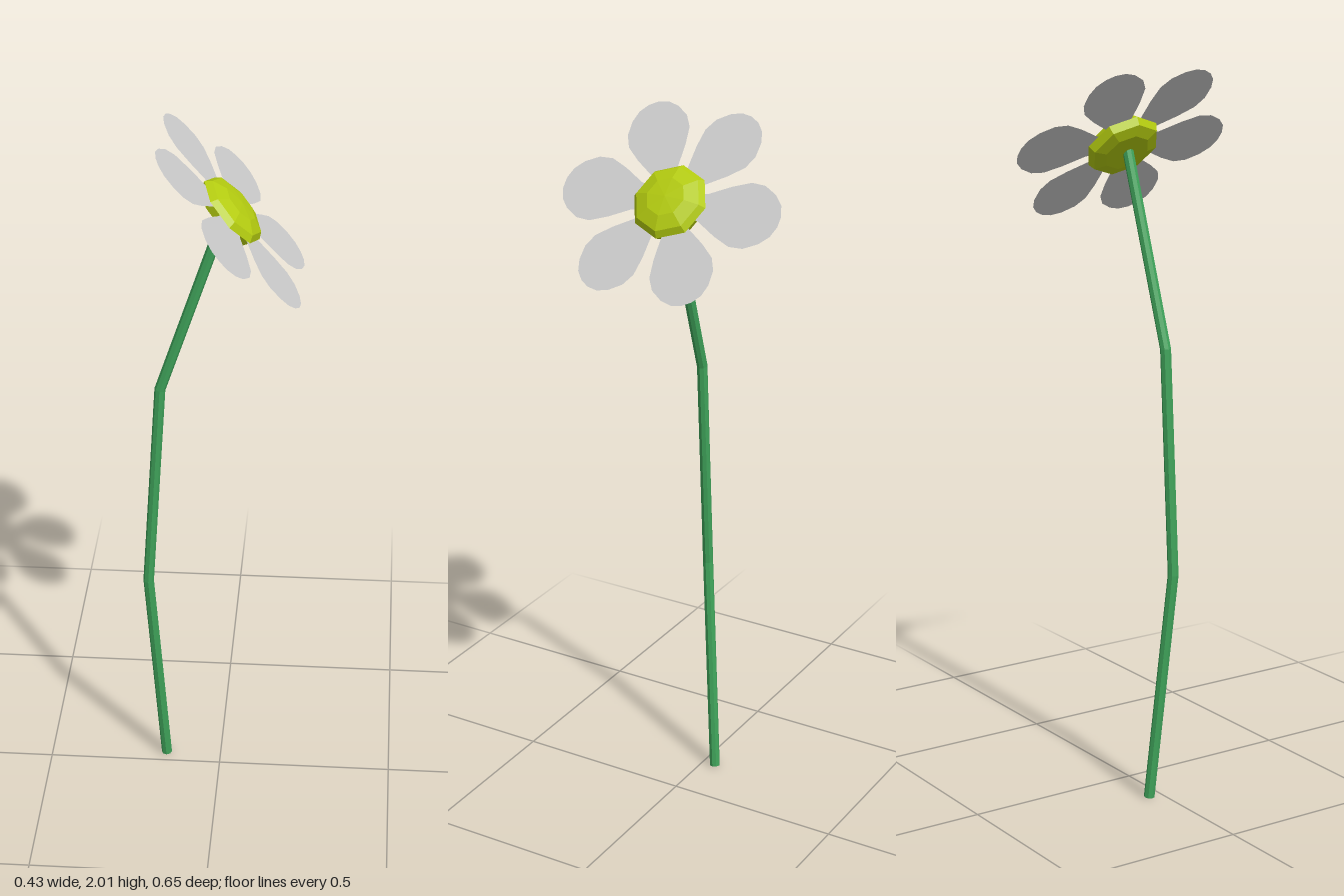
import * as THREE from 'three';

const green = new THREE.MeshStandardMaterial({ color: 0x3fa35a, flatShading: true });
const yellow = new THREE.MeshStandardMaterial({ color: 0xb4cc10, flatShading: true });
const grey = new THREE.MeshStandardMaterial({ color: 0xcccccc, flatShading: true, side: THREE.DoubleSide });

function add(parent, name, geometry, material) {
  const mesh = new THREE.Mesh(geometry, material);
  mesh.name = name;
  parent.add(mesh);
  return mesh;
}

// Polyline curve with one ring per joint, so the stem keeps its straight kinked segments
class KinkedCurve extends THREE.Curve {
  constructor(points) {
    super();
    this.points = points;
  }
  getPoint(t, target = new THREE.Vector3()) {
    const last = this.points.length - 1;
    const i = Math.min(Math.floor(t * last + 1e-9), last - 1);
    return target.lerpVectors(this.points[i], this.points[i + 1], t * last - i);
  }
  getPointAt(t, target) { return this.getPoint(t, target); }
  getTangentAt(t, target) { return this.getTangent(t, target); }
}

function buildStem(radius) {
  const stem = new THREE.Group();
  stem.name = 'stem';
  const path = [[-0.16, 0.003, -0.04], [-0.2, 0.65, 0.01], [-0.16, 1.27, 0.01], [0.015, 1.79, 0.005]]
    .map(p => new THREE.Vector3(...p));
  add(stem, 'stalk', new THREE.TubeGeometry(new KinkedCurve(path), 3, radius, 8), green);

  // End caps facing away from the stalk
  for (const [end, next] of [[0, 1], [3, 2]]) {
    const cap = add(stem, 'stalkCap', new THREE.CircleGeometry(radius, 8), green);
    cap.position.copy(path[end]);
    cap.lookAt(path[end].clone().multiplyScalar(2).sub(path[next]));
  }
  return stem;
}

// Petal outline, narrow at the base and rounded at the tip
function petalGeometry() {
  const side = [[0.03, 0.05], [0.04, 0.1], [0.072, 0.16], [0.092, 0.21], [0.09, 0.25], [0.07, 0.288], [0.045, 0.312], [0.015, 0.323]];
  const mirrored = side.map(([x, y]) => [-x, y]).reverse();
  const shape = new THREE.Shape([...side, ...mirrored].map(p => new THREE.Vector2(...p)));
  return new THREE.ShapeGeometry(shape).rotateX(-Math.PI / 2);
}

function buildHead() {
  const head = new THREE.Group();
  head.name = 'flowerHead';

  // Faceted, flattened centre
  const profile = [[0, -0.032], [0.065, -0.032], [0.098, -0.022], [0.107, 0], [0.094, 0.017], [0.055, 0.031], [0, 0.035]]
    .map(p => new THREE.Vector2(...p));
  add(head, 'flowerCentre', new THREE.LatheGeometry(profile, 8), yellow);

  // Six petals, the two sideways ones slightly longer
  const geometry = petalGeometry();
  for (let i = 0; i < 6; i++) {
    const petal = add(head, 'petal', geometry, grey);
    petal.rotation.y = i * Math.PI / 3;
    petal.scale.setScalar(i % 3 === 0 ? 1 : 0.95);
  }

  head.position.set(0.033, 1.8, 0);
  head.rotation.z = -0.838;
  return head;
}

export function createModel() {
  const flower = new THREE.Group();
  flower.name = 'flower';
  flower.add(buildStem(0.015), buildHead());
  return flower;
}
